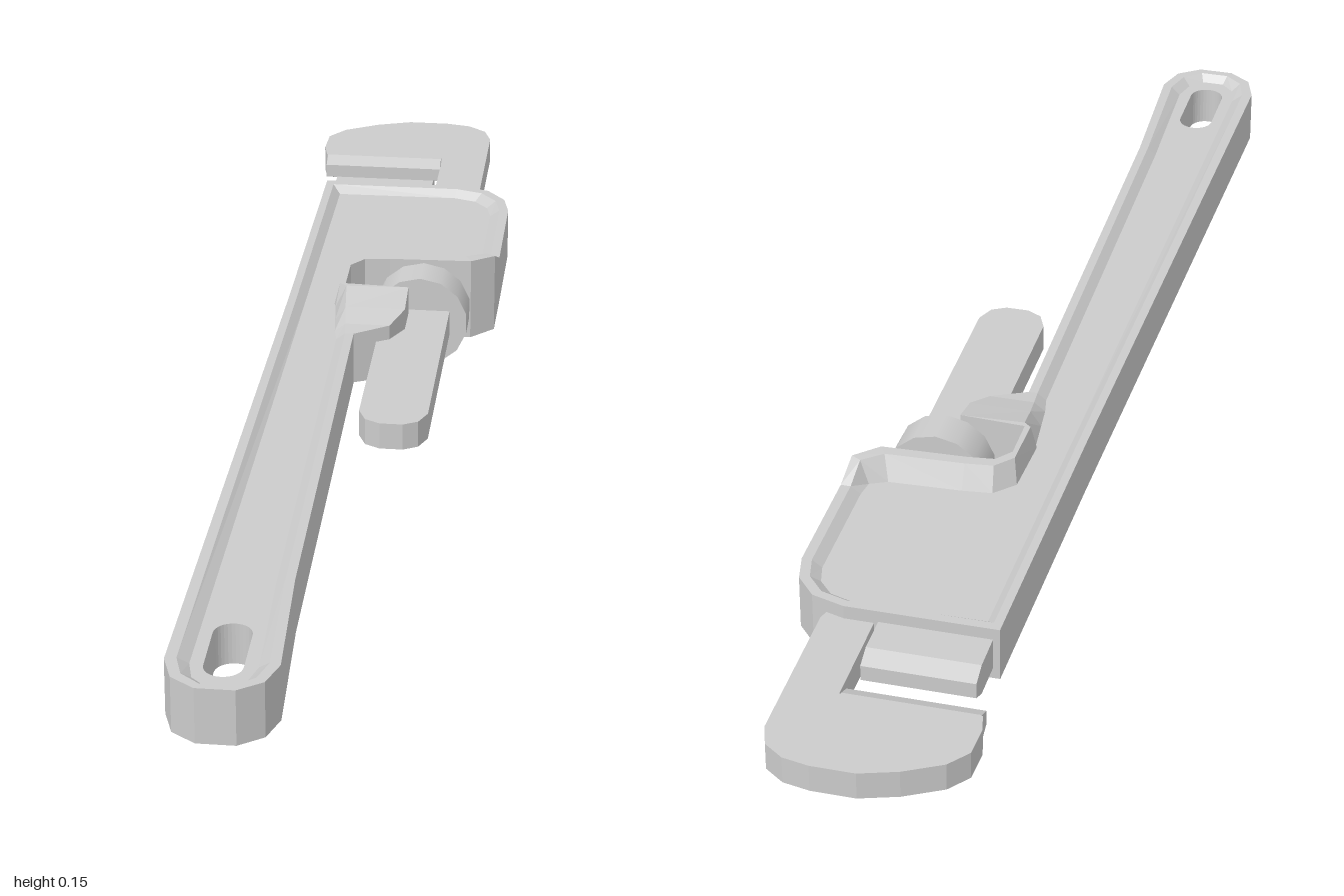
import * as THREE from 'three';

const MID = 0.0775; // height of the tool's middle plane
const steel = new THREE.MeshStandardMaterial({ color: 0xcccccc, flatShading: true });
const smoothSteel = new THREE.MeshStandardMaterial({ color: 0xcccccc });

function part(name, geometry, material = steel) {
  const mesh = new THREE.Mesh(geometry, material);
  mesh.name = name;
  mesh.position.y = MID;
  return mesh;
}

// Flat plate from [x, z] points, centred on the middle plane
function plate(points, half, hole) {
  const shape = new THREE.Shape(points.map(([x, z]) => new THREE.Vector2(x, -z)));
  if (hole) shape.holes.push(hole);
  const g = new THREE.ExtrudeGeometry(shape, { depth: 2 * half, bevelEnabled: false, curveSegments: 8 });
  return g.translate(0, 0, -half).rotateX(-Math.PI / 2);
}

// Bar along x with a section of [z, half thickness] steps
function taperedBar(x0, x1, steps) {
  const upper = steps.map(([z, h]) => new THREE.Vector2(-z, h));
  const lower = steps.map(([z, h]) => new THREE.Vector2(-z, -h)).reverse();
  const g = new THREE.ExtrudeGeometry(new THREE.Shape([...upper, ...lower]), { depth: x1 - x0, bevelEnabled: false });
  return g.rotateY(Math.PI / 2).translate(x0, 0, 0);
}

// Rim half thickness: thicker around the nut window
function rimHeight(x, z) {
  if (x < -0.1) return 0.042;
  const rise = Math.min((z + 0.39) / 0.05, (-0.1 - z) / 0.1);
  return 0.042 + 0.0255 * THREE.MathUtils.clamp(rise, 0, 1);
}

// Body outline: [outer x, outer z, panel x, panel z, rim width share]
const OUTLINE = [
  [-0.145, -0.675, -0.12, -0.645], [0.08, -0.675, 0.075, -0.648],
  [0.13, -0.66, 0.11, -0.637], [0.16, -0.625, 0.132, -0.612],
  [0.17, -0.58, 0.14, -0.58], [0.17, -0.39, 0.14, -0.39],
  [0.166, -0.345, 0.136, -0.362], [0.13, -0.315, 0.11, -0.35],
  [0, -0.31, 0, -0.345], [-0.04, -0.305, -0.045, -0.34],
  [-0.06, -0.28, -0.074, -0.31], [-0.06, -0.21, -0.078, -0.21],
  [0.04, -0.205, -0.075, -0.2, 0.85], [0.04, -0.15, -0.07, -0.15, 0.85],
  [0.02, -0.11, -0.066, -0.11, 0.8], [-0.033, -0.08, -0.06, -0.08],
  [-0.025, 0.7, -0.052, 0.7], [-0.015, 0.93, -0.045, 0.92],
  [-0.03, 0.975, -0.055, 0.955], [-0.065, 1, -0.075, 0.975],
  [-0.12, 1, -0.11, 0.975], [-0.155, 0.975, -0.13, 0.955],
  [-0.17, 0.93, -0.138, 0.92], [-0.15, -0.2, -0.125, -0.2],
];
const FLOOR = 0.031;

// Raised rim: one cross-section per outline point, joined into a ring
function rimGeometry() {
  const pos = [], index = [], rows = 6, n = OUTLINE.length;
  OUTLINE.forEach(([x, z, px, pz, share = 0.5], i) => {
    const h = rimHeight(x, z);
    const rx = x + (px - x) * share, rz = z + (pz - z) * share;
    pos.push(px, -FLOOR, pz, rx, -h, rz, x, -h, z, x, h, z, rx, h, rz, px, FLOOR, pz);
    for (let r = 0; r < rows - 1; r++) {
      const a = i * rows + r, b = ((i + 1) % n) * rows + r;
      index.push(a, a + 1, b + 1, a, b + 1, b);
    }
  });
  const g = new THREE.BufferGeometry();
  g.setAttribute('position', new THREE.Float32BufferAttribute(pos, 3));
  g.setIndex(index);
  const flat = g.toNonIndexed();
  flat.computeVertexNormals();
  return flat;
}

export function createModel() {
  const group = new THREE.Group();
  group.name = 'pipeWrench';

  // Handle and housing: rim plus recessed panel with a hanging slot
  const slot = new THREE.Path();
  slot.absarc(-0.092, -0.837, 0.027, 0, Math.PI, false);
  slot.absarc(-0.092, -0.923, 0.027, Math.PI, 2 * Math.PI, false);
  slot.closePath();
  group.add(part('bodyRim', rimGeometry()));
  group.add(part('bodyPanel', plate(OUTLINE.map((p) => [p[2], p[3]]), FLOOR, slot)));

  // Sliding hook jaw with its long shank
  group.add(part('hookJaw', plate([
    [0.105, -0.66], [0.112, -0.68], [0.112, -0.935], [0.1, -0.97], [0.07, -0.992], [0.03, -1],
    [-0.035, -1], [-0.09, -0.982], [-0.145, -0.952], [-0.17, -0.92], [-0.172, -0.87],
    [-0.165, -0.84], [0.036, -0.84], [0.036, -0.66], [0, -0.64], [0, 0.14], [0.012, 0.168],
    [0.035, 0.18], [0.07, 0.18], [0.092, 0.168], [0.104, 0.14], [0.104, -0.64],
  ], 0.021)));

  // Gripping faces of both jaws
  group.add(part('hookJawTeeth', taperedBar(-0.163, 0.034, [[-0.845, 0.021], [-0.838, 0.021], [-0.815, 0.011]])));
  group.add(part('heelJaw', taperedBar(-0.135, 0.03, [[-0.64, 0.024], [-0.735, 0.024], [-0.763, 0.012]])));

  // Adjusting nut
  const nut = new THREE.CylinderGeometry(0.0755, 0.0755, 0.06, 14).rotateX(Math.PI / 2);
  const nutMesh = part('adjustingNut', nut, smoothSteel);
  nutMesh.position.set(0.057, MID, -0.252);
  group.add(nutMesh);

  return group;
}
